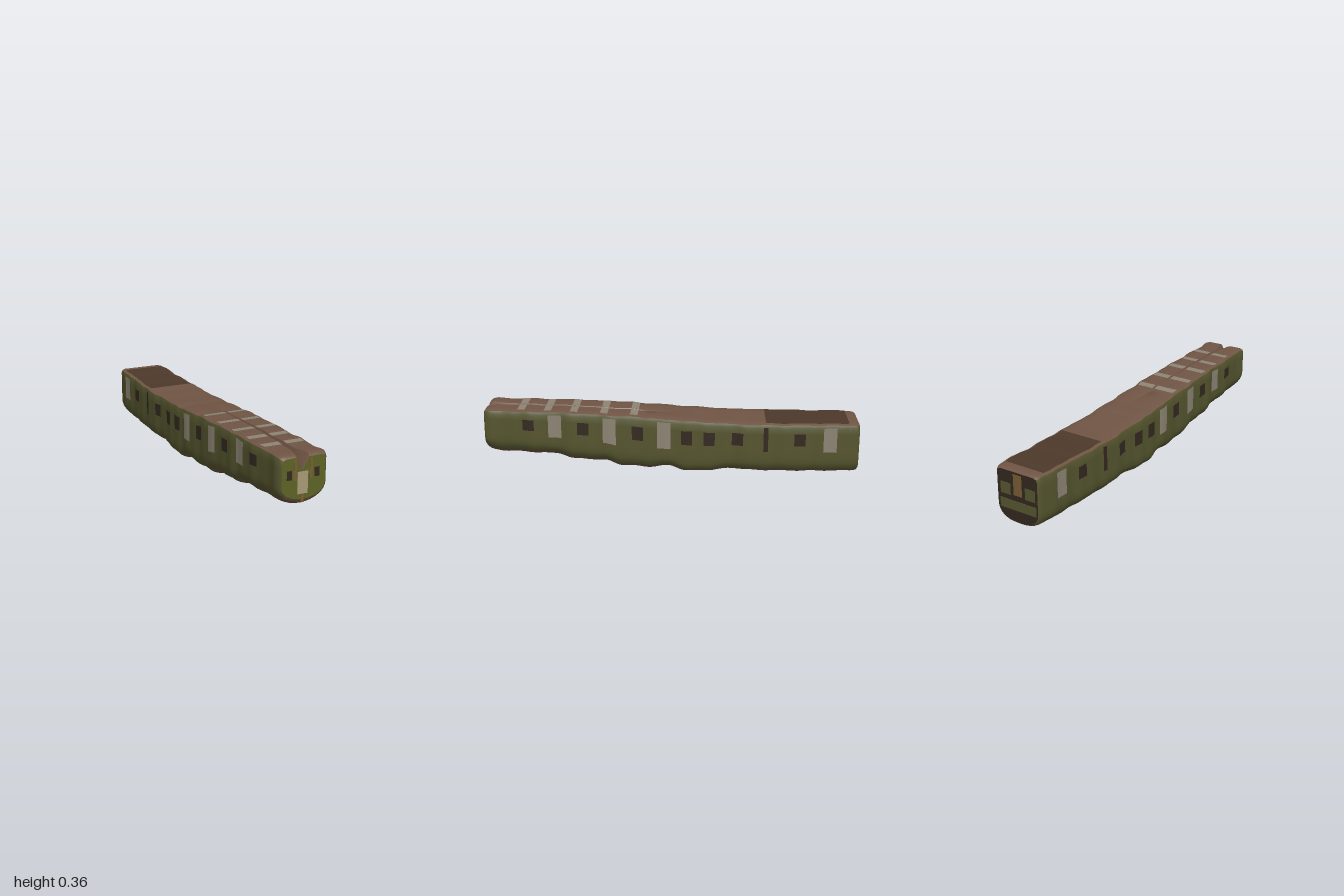
import * as THREE from 'three';
import { toCreasedNormals } from 'three/addons/utils/BufferGeometryUtils.js';

const ROOF = 0x705544, SIDE = 0x55552f, BELLY = 0x6b573f, PALE = 0x8d8474,
  DARK = 0x33291f, FACE = 0x5d6326, OCHRE = 0x7a5c35;
const FRONT = 0.995, REAR = -0.995, COUNT = 36;

// Stations: z, right-hand x min, x max, bottom, top, shoulder height, roundness, groove half width, groove depth
const stations = [
  [-1.00, -.137, .138, .012, .298, .11, 2.6, .006, 0],
  [-0.70, -.142, .140, .008, .295, .11, 2.7, .006, 0],
  [-0.48, -.150, .146, .009, .296, .11, 2.7, .006, 0],
  [-0.32, -.145, .143, .020, .300, .11, 2.7, .006, 0],
  [-0.20, -.143, .142, .010, .306, .10, 3.0, .006, 0],
  [-0.08, -.147, .146, .008, .313, .10, 3.2, .006, 0],
  [0.02, -.140, .143, .032, .320, .12, 2.6, .008, .002],
  [0.12, -.137, .143, .020, .328, .12, 2.6, .008, .006],
  [0.26, -.133, .145, .028, .337, .13, 2.5, .008, .012],
  [0.36, -.130, .144, .056, .342, .15, 2.4, .008, .016],
  [0.52, -.122, .143, .062, .350, .16, 2.3, .009, .022],
  [0.62, -.118, .143, .090, .353, .18, 2.2, .010, .026],
  [0.88, -.108, .147, .100, .358, .20, 2.1, .014, .035],
  [1.00, -.104, .150, .112, .362, .21, 2.0, .034, .066],
];

function station(z) {
  let i = 0;
  while (i < stations.length - 2 && z > stations[i + 1][0]) i++;
  const a = stations[i], b = stations[i + 1];
  const t = THREE.MathUtils.smoothstep(z, a[0], b[0]);
  return a.map((v, k) => THREE.MathUtils.lerp(v, b[k], t));
}

// Closed cross-section, running clockwise from the groove as seen from the front
function section(z, grow = 0) {
  let [, xl, xr, yb, yt, ym, n, w, d] = station(z);
  const ripple = .003 * Math.sin(z * 27) + .0015 * Math.sin(z * 61);
  const e = Math.max(0, 1 - Math.min(FRONT - z, z - REAR) / .045);
  const inset = 1 - Math.sqrt(Math.max(0, 1 - e * e));
  xl -= ripple + grow - .016 * inset;
  xr += ripple + grow - .012 * inset;
  yt += .0015 * Math.sin(z * 35) + grow - .012 * inset;
  yb += .002 * Math.sin(z * 40) + (z > 0 ? .03 : .014) * inset - grow;
  const g = .018, cx = (xl + xr) / 2;
  const half = (x, s) => {
    const p = [[g + s * w, yt], [(g + x) / 2, yt], [x - s * .022, yt], [x - s * .006, yt - .006], [x, yt - .022]];
    for (let k = 1; k <= 5; k++) p.push([x, yt - .022 + (ym - yt + .022) * k / 5]);
    for (let k = 1; k < 8; k++) {
      const a = k / 8 * Math.PI / 2;
      p.push([cx + (x - cx) * Math.cos(a) ** (2 / n), ym - (ym - yb) * Math.sin(a) ** (2 / n)]);
    }
    return p;
  };
  return [[g, yt - d], ...half(xr, 1), [cx, yb], ...half(xl, -1).reverse()];
}

// Lofted strip of the hull between two lengths and two profile indices
function patch(name, color, j0, j1, z0, z1, steps, grow = 0) {
  const pos = [], index = [], cols = j1 - j0 + 1;
  for (let i = 0; i <= steps; i++) {
    const z = THREE.MathUtils.lerp(z0, z1, i / steps), s = section(z, grow);
    for (let j = j0; j <= j1; j++) pos.push(...s[(j + COUNT) % COUNT], z);
  }
  for (let i = 0; i < steps; i++) for (let j = 0; j < cols - 1; j++) {
    const a = i * cols + j, b = a + cols;
    index.push(a, b, a + 1, b, b + 1, a + 1);
  }
  const geo = new THREE.BufferGeometry();
  geo.setAttribute('position', new THREE.Float32BufferAttribute(pos, 3));
  geo.setIndex(index);
  return mesh(name, toCreasedNormals(geo, .7), color);
}

function mesh(name, geo, color) {
  const m = new THREE.Mesh(geo, new THREE.MeshStandardMaterial({ color }));
  m.name = name;
  return m;
}

function plate(name, color, x, y, z, w, h) {
  const m = mesh(name, new THREE.BoxGeometry(w, h, .004), color);
  m.position.set(x, y, z);
  return m;
}

// Flat end wall following the hull profile
function endWall(name, z, color) {
  const s = z > 0 ? 1 : -1;
  const geo = new THREE.ShapeGeometry(new THREE.Shape(section(z).map(([x, y]) => new THREE.Vector2(s * x, y))));
  if (s < 0) geo.rotateY(Math.PI);
  geo.translate(0, 0, z);
  return mesh(name, geo, color);
}

export function createModel() {
  const model = new THREE.Group();
  model.name = 'longCarriage';

  // Hull strips
  const hull = new THREE.Group();
  hull.name = 'hull';
  const strips = [['roof', ROOF, -4, 4], ['leftSide', SIDE, 4, 13], ['underside', BELLY, 13, 23], ['rightSide', SIDE, 23, 32]];
  for (const [name, color, j0, j1] of strips) {
    hull.add(patch(name, color, j0, j1, REAR, REAR + .045, 8));
    hull.add(patch(name, color, j0, j1, REAR + .045, FRONT - .045, 120));
    hull.add(patch(name, color, j0, j1, FRONT - .045, FRONT, 8));
  }
  hull.add(endWall('frontWall', FRONT, FACE), endWall('rearWall', REAR, DARK));
  model.add(hull);

  // Pale doors and dark windows, mirrored on both sides
  const sidePanel = (name, color, top, bottom, z, length) => {
    model.add(patch(name, color, top, bottom, z - length / 2, z + length / 2, 5, .002));
    model.add(patch(name, color, COUNT - bottom, COUNT - top, z - length / 2, z + length / 2, 5, .002));
  };
  for (const z of [-.84, .04, .33, .62]) sidePanel('door', PALE, 5, 9, z, .07);
  for (const z of [-.68, -.35, -.2, -.08, .18, .47, .76]) sidePanel('window', DARK, 6, 8, z, .06);
  sidePanel('narrowDoor', DARK, 5, 9, -.5, .025);

  // Cross bands and darker rear covering on the roof
  for (const z of [.2, .36, .52, .66, .8]) {
    model.add(patch('roofBand', PALE, 1, 3, z - .02, z + .02, 3, .001));
    model.add(patch('roofBand', PALE, 33, 35, z - .02, z + .02, 3, .001));
  }
  model.add(patch('rearRoofCover', 0x4d392b, -3, 3, -.94, -.5, 30, .001));

  // Front face: centre panel, windows and trim
  model.add(plate('frontCentrePanel', 0xa89a78, .02, .225, FRONT, .055, .11));
  model.add(plate('frontLowerTrim', OCHRE, .02, .147, FRONT, .012, .04));
  for (const s of [-1, 1]) {
    model.add(plate('frontWindow', DARK, .022 + s * .073, .268, FRONT, .026, .045));
    model.add(plate('frontPillar', OCHRE, .022 + s * .042, .29, FRONT, .014, .1));
  }

  // Rear face: door, side panels and a low sill
  model.add(plate('rearDoor', OCHRE, 0, .22, REAR, .05, .11));
  model.add(plate('rearSill', SIDE, 0, .11, REAR, .22, .05));
  for (const s of [-1, 1]) model.add(plate('rearPanel', SIDE, s * .075, .19, REAR, .06, .06));
  return model;
}
